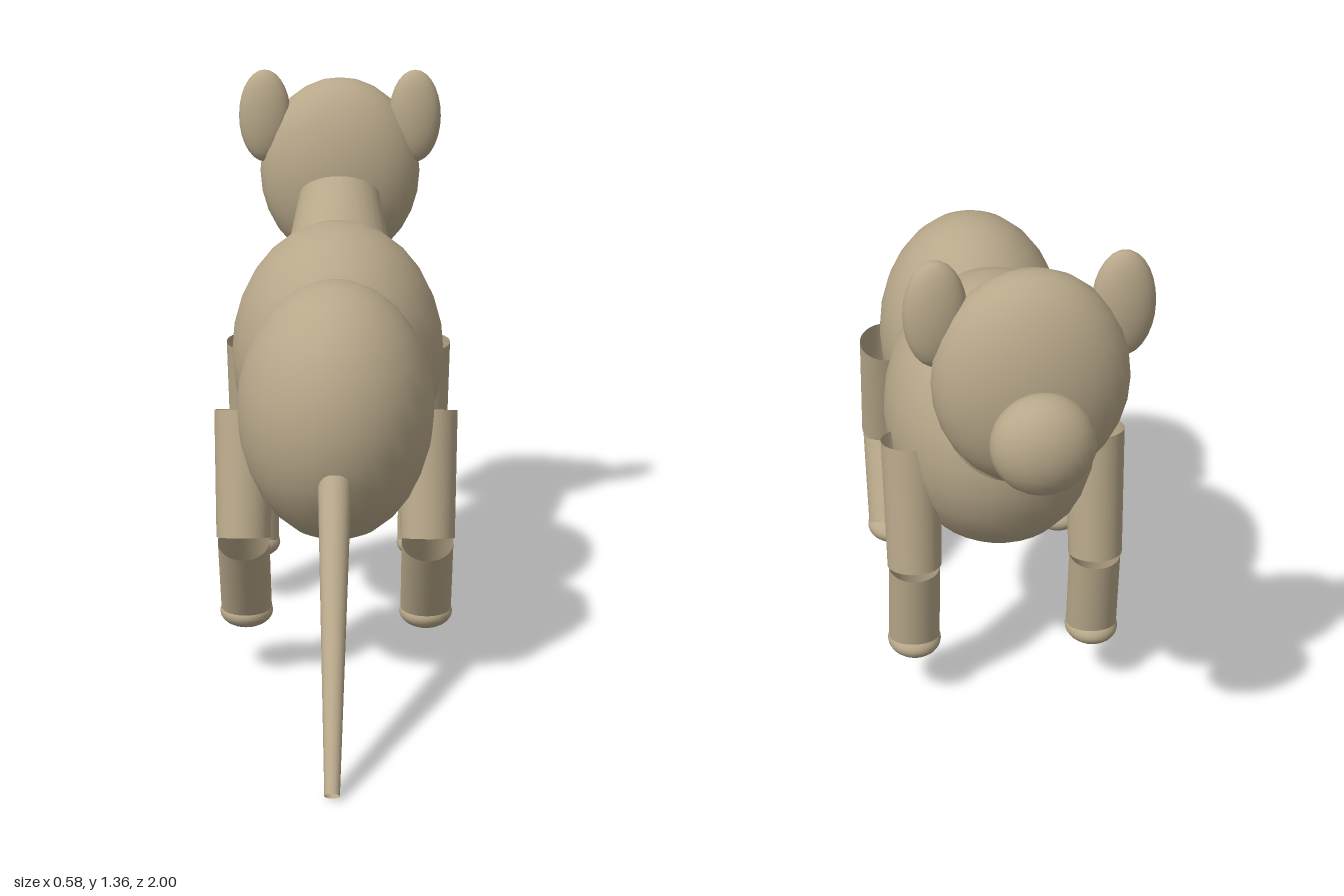
import * as THREE from 'three';

const fur = new THREE.MeshStandardMaterial({ color: 0xb8a88a, side: THREE.DoubleSide });
fur.name = 'tan fur';

// Smooth ellipsoid at a centre with three radii
function ellipsoid(name, center, radii) {
  const geo = new THREE.SphereGeometry(1, 32, 14);
  geo.scale(...radii);
  const mesh = new THREE.Mesh(geo, fur);
  mesh.name = name;
  mesh.position.set(...center);
  return mesh;
}

// Open tapered tube between two points
function tube(name, from, to, r0, r1) {
  const a = new THREE.Vector3(...from), b = new THREE.Vector3(...to);
  const dir = b.clone().sub(a);
  const geo = new THREE.CylinderGeometry(r1, r0, dir.length(), 32, 1, true);
  const mesh = new THREE.Mesh(geo, fur);
  mesh.name = name;
  mesh.position.copy(a).add(b).multiplyScalar(0.5);
  mesh.quaternion.setFromUnitVectors(new THREE.Vector3(0, 1, 0), dir.normalize());
  return mesh;
}

// Two-part leg; joints are [y, z] pairs
function leg(name, x, hip, knee, kneeLow, ankle) {
  const group = new THREE.Group();
  group.name = name;
  group.add(
    tube('upperLeg', [x, ...hip], [x, ...knee], 0.071, 0.065),
    tube('lowerLeg', [x, ...kneeLow], [x, ...ankle], 0.062, 0.062),
    ellipsoid('paw', [x, 0.157, ankle[1]], [0.065, 0.038, 0.075])
  );
  return group;
}

export function createModel() {
  const model = new THREE.Group();
  model.name = 'animal';

  // Body and head; the head points toward -z
  model.add(
    ellipsoid('chest', [0, 0.714, -0.19], [0.27, 0.336, 0.328]),
    ellipsoid('hips', [0, 0.685, 0.27], [0.236, 0.314, 0.267]),
    tube('neck', [0, 0.831, -0.464], [0, 1.037, -0.63], 0.155, 0.108),
    ellipsoid('head', [0, 1.088, -0.737], [0.217, 0.254, 0.135]),
    ellipsoid('muzzle', [0, 1.024, -0.916], [0.114, 0.115, 0.084]),
    tube('tail', [0, 0.606, 0.47], [0, 0.014, 0.987], 0.04, 0.017)
  );

  // Mirrored ears and legs
  for (const [side, s] of [['left', 1], ['right', -1]]) {
    model.add(
      ellipsoid(side + 'Ear', [s * 0.203, 1.241, -0.713], [0.07, 0.125, 0.041]),
      leg(side + 'FrontLeg', s * 0.22, [0.71, -0.319], [0.39, -0.362], [0.383, -0.36], [0.165, -0.33]),
      leg(side + 'HindLeg', s * 0.22, [0.678, 0.24], [0.383, 0.318], [0.372, 0.318], [0.165, 0.2])
    );
  }
  return model;
}
